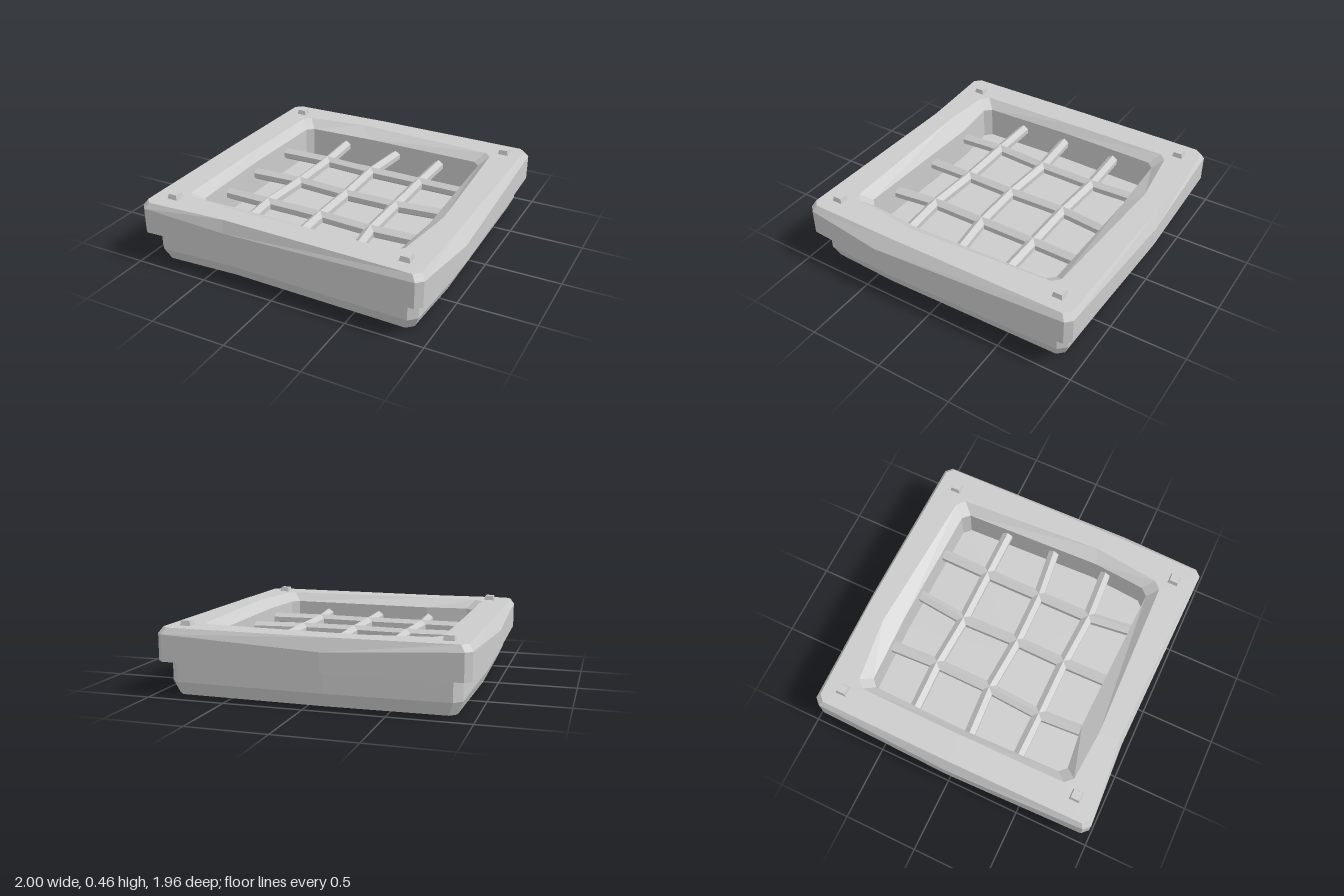
import * as THREE from 'three';

const material = new THREE.MeshStandardMaterial({ color: 0xcccccc, flatShading: true });

// Skins a list of rings; each ring is a closed loop of Vector3 turning clockwise about the travel direction.
// The first and last rings are closed by a fan to their centre.
function loft(name, rings) {
  const centre = (ring) => {
    const c = ring.reduce((s, p) => s.add(p), new THREE.Vector3()).divideScalar(ring.length);
    return ring.map(() => c);
  };
  const all = [centre(rings[0]), ...rings, centre(rings[rings.length - 1])];
  const pos = [];
  const tri = (a, b, c) => {
    if (a.equals(b) || b.equals(c) || c.equals(a)) return;
    for (const p of [a, b, c]) pos.push(p.x, p.y, p.z);
  };
  for (let i = 0; i + 1 < all.length; i++) {
    const a = all[i], b = all[i + 1], n = a.length;
    for (let j = 0; j < n; j++) {
      const k = (j + 1) % n;
      tri(a[k], a[j], b[j]);
      tri(a[k], b[j], b[k]);
    }
  }
  const geo = new THREE.BufferGeometry();
  geo.setAttribute('position', new THREE.Float32BufferAttribute(pos, 3));
  geo.computeVertexNormals();
  const mesh = new THREE.Mesh(geo, material);
  mesh.name = name;
  return mesh;
}

// Wobbly square outline: sides at l, r, b (back), f (front), chamfer c,
// and one bend point [x, z] per side in the order back, right, front, left.
function outline(y, [l, r, b, f], c, [mb, mr, mf, ml], yMid = y) {
  const v = (x, z) => new THREE.Vector3(x, y, z);
  const m = ([x, z]) => new THREE.Vector3(x, yMid, z);
  return [
    v(l + c, b), m(mb), v(r - c, b), v(r, b + c), m(mr), v(r, f - c),
    v(r - c, f), m(mf), v(l + c, f), v(l, f - c), m(ml), v(l, b + c),
  ];
}

// Six-sided section bar through [x, z] points, running along x or z
function bar(name, points, alongX) {
  const w = 0.035;
  const section = [[0, 0.325], [1, 0.3], [1, 0.265], [0, 0.24], [-1, 0.265], [-1, 0.3]];
  return loft(name, points.map(([x, z]) => section.map(([s, y]) => (
    alongX ? new THREE.Vector3(x, y, z - s * w) : new THREE.Vector3(x + s * w, y, z)
  ))));
}

export function createModel() {
  const model = new THREE.Group();

  // Tray: tapered base, overhanging rim, bevelled opening and sunken floor
  const lip = [-0.975, 0.96, -0.96, 0.978];
  const lipBends = [[-0.1, -0.987], [1, 0.4], [-0.37, 0.95], [-1, 0]];
  const body = [-0.915, 0.905, -0.9, 0.915];
  const bodyBends = [[-0.1, -0.915], [0.925, 0.38], [-0.35, 0.89], [-0.93, 0]];
  const well = [-0.705, 0.685, -0.69, 0.7];
  const wellBends = [[-0.18, -0.705], [0.715, 0.3], [-0.37, 0.67], [-0.72, 0.02]];
  model.add(loft('tray', [
    outline(0, [-0.88, 0.87, -0.87, 0.875], 0.04, [[-0.1, -0.885], [0.89, 0.38], [-0.35, 0.85], [-0.9, 0]]),
    outline(0.083, body, 0.05, bodyBends),
    outline(0.218, body, 0.05, bodyBends),
    outline(0.218, lip, 0.04, lipBends),
    outline(0.388, lip, 0.04, lipBends, 0.345),
    outline(0.427, [-0.95, 0.935, -0.935, 0.957], 0.04,
      [[-0.2, -0.95], [0.94, 0.35], [-0.37, 0.927], [-0.955, 0]]),
    outline(0.427, [-0.765, 0.745, -0.755, 0.765], 0.048,
      [[-0.3, -0.81], [0.8, 0.27], [-0.37, 0.79], [-0.77, 0]]),
    outline(0.37, well, 0.045, wellBends),
    outline(0.15, well, 0.045, wellBends),
  ]));

  // Grate: three bars each way, meeting at shared crossings
  const crossX = [[-0.37, -0.01, 0.365], [-0.375, 0, 0.365], [-0.4, -0.005, 0.365]];
  const crossZ = [[-0.38, -0.36, -0.36], [0.01, 0.035, 0.03], [0.38, 0.38, 0.4]];
  const rowEnds = [[-0.37, -0.36], [0.03, -0.01], [0.375, 0.38]];
  const columnEnds = [[-0.385, -0.38], [0.025, 0], [0.37, 0.4]];
  const grate = new THREE.Group();
  grate.name = 'grate';
  for (let i = 0; i < 3; i++) {
    const row = [0, 1, 2].map((j) => [crossX[i][j], crossZ[i][j]]);
    const column = [0, 1, 2].map((j) => [crossX[j][i], crossZ[j][i]]);
    grate.add(
      bar('crossBar', [[-0.715, rowEnds[i][0]], ...row, [0.71, rowEnds[i][1]]], true),
      bar('lengthBar', [[columnEnds[i][0], -0.7], ...column, [columnEnds[i][1], 0.69]], false),
    );
  }
  model.add(grate);

  // Square studs on the rim corners
  const studGeo = new THREE.CylinderGeometry(0.028 * Math.SQRT2, 0.037 * Math.SQRT2, 0.04, 4).rotateY(Math.PI / 4);
  for (const [x, z] of [[-0.825, -0.815], [0.815, -0.81], [-0.81, 0.82], [0.805, 0.83]]) {
    const stud = new THREE.Mesh(studGeo, material);
    stud.name = 'cornerStud';
    stud.position.set(x, 0.438, z);
    model.add(stud);
  }
  return model;
}
